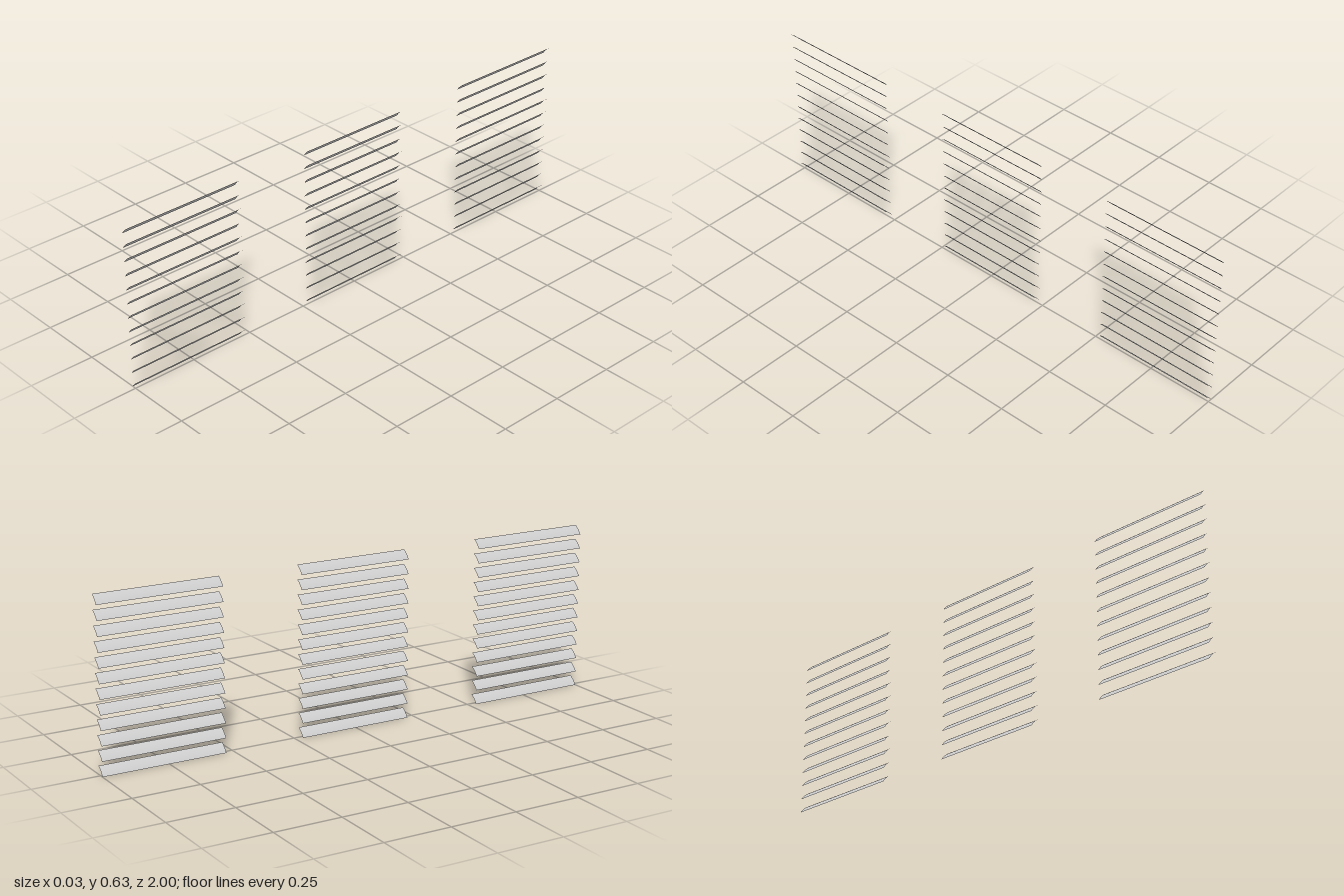
import * as THREE from 'three';

const SLATS = 12;          // slats per blind
const SIZE = 0.031;        // rise and run of one tilted slat
const HEIGHT = 0.631;      // height of a whole blind
const BOW = 0.0025;        // crown of the slat's curved section

// Thin slat running along z, tilted up towards +x and bowed up towards -x
function slatGeometry(length) {
  const geo = new THREE.PlaneGeometry(1, length, 8, 1);
  const pos = geo.attributes.position;
  for (let i = 0; i < pos.count; i++) {
    const u = pos.getX(i);
    const bow = BOW * (1 - 4 * u * u) * Math.SQRT1_2;
    pos.setXYZ(i, u * SIZE - bow, u * SIZE + bow, -pos.getY(i));
  }
  geo.computeVertexNormals();
  return geo;
}

export function createModel() {
  const model = new THREE.Group();
  model.name = 'louvredBlinds';
  const material = new THREE.MeshStandardMaterial({ color: 0xcccccc, side: THREE.DoubleSide });

  // Three blinds in a row: [name, z start, z end]
  const blinds = [
    ['frontBlind', 0.53, 1],
    ['middleBlind', -0.222, 0.222],
    ['backBlind', -1, -0.53],
  ];
  for (const [name, z0, z1] of blinds) {
    const blind = new THREE.Group();
    blind.name = name;
    blind.position.z = (z0 + z1) / 2;
    const geo = slatGeometry(z1 - z0);
    for (let i = 0; i < SLATS; i++) {
      const slat = new THREE.Mesh(geo, material);
      slat.name = 'slat' + (i + 1);
      slat.position.y = SIZE / 2 + (i * (HEIGHT - SIZE)) / (SLATS - 1);
      blind.add(slat);
    }
    model.add(blind);
  }
  return model;
}
